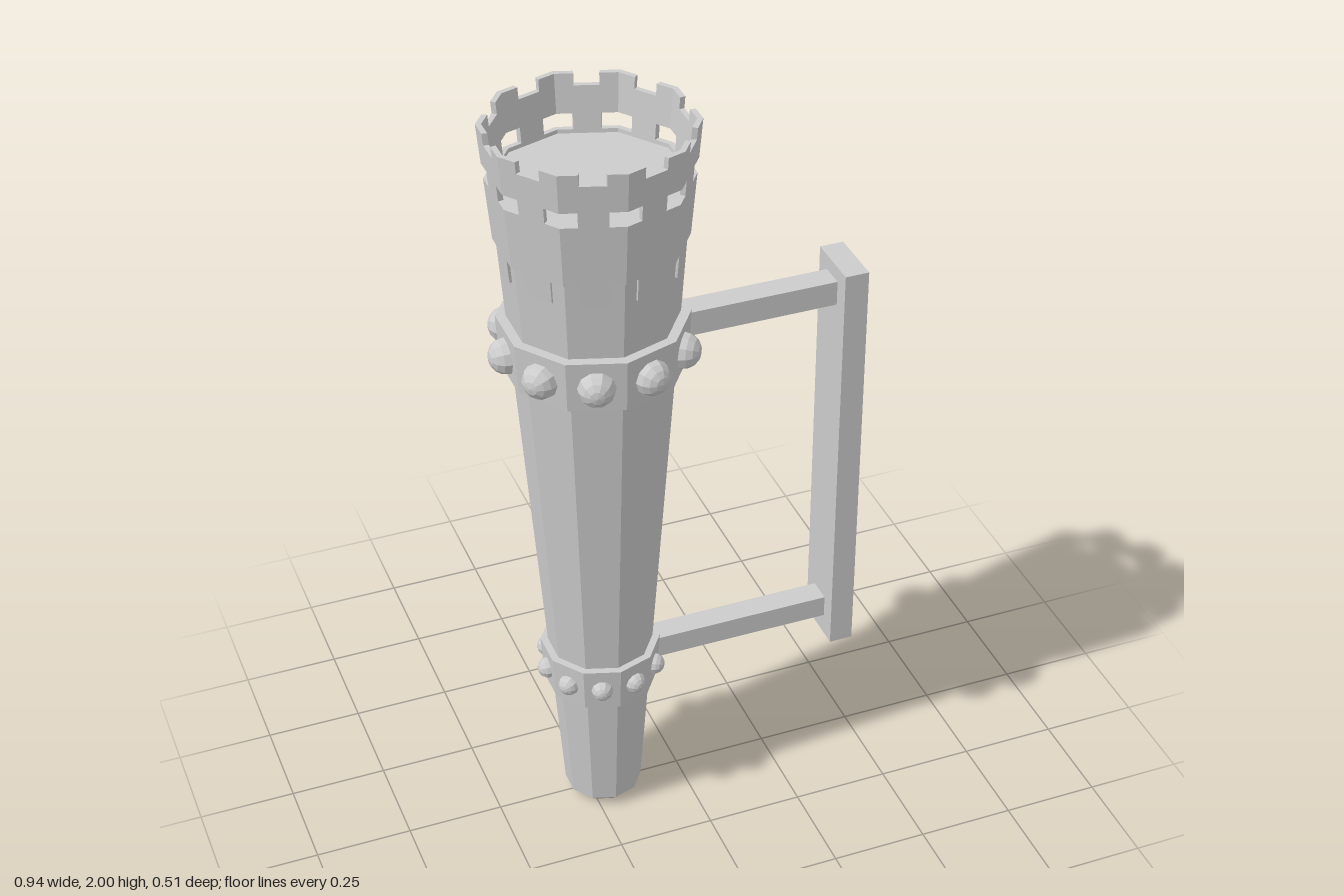
import * as THREE from 'three';

const SIDES = 10;
const AXIS_X = -0.21;

export function createModel() {
  const model = new THREE.Group();
  model.name = 'wallTorch';
  const mat = new THREE.MeshStandardMaterial({ color: 0xcccccc, flatShading: true });

  const add = (parent, name, geometry) => {
    const mesh = new THREE.Mesh(geometry, mat);
    mesh.name = name;
    parent.add(mesh);
    return mesh;
  };
  const lathe = (pts) => new THREE.LatheGeometry(pts.map(([r, y]) => new THREE.Vector2(r, y)), SIDES);

  const torch = new THREE.Group();
  torch.name = 'torch';
  torch.position.x = AXIS_X;
  model.add(torch);

  // Tapered ten-sided shaft with chamfered foot and flat top
  add(torch, 'shaft', lathe([[0, 0], [0.075, 0], [0.1, 0.025], [0.234, 1.85], [0, 1.85]]));

  // Collars with domed studs on every face but the one holding the bracket
  const collar = (name, y0, y1, r0, r1, inner, studY, studR) => {
    const group = new THREE.Group();
    group.name = name;
    torch.add(group);
    add(group, 'band', lathe([[inner, y0], [r0, y0], [r1, y1], [inner, y1]]));
    const apothem = (r0 + r1) / 2 * Math.cos(Math.PI / SIDES);
    const dome = new THREE.SphereGeometry(studR, 10, 4, 0, Math.PI * 2, 0, Math.PI / 2).rotateX(Math.PI / 2);
    for (let i = 0; i < SIDES; i++) {
      if (i === 2) continue;
      const a = (i + 0.5) / SIDES * Math.PI * 2;
      const stud = add(group, 'stud', dome);
      stud.position.set(Math.sin(a) * apothem, studY, Math.cos(a) * apothem);
      stud.rotation.y = a;
    }
  };
  collar('upperCollar', 1.355, 1.49, 0.225, 0.233, 0.18, 1.42, 0.046);
  collar('lowerCollar', 0.38, 0.5, 0.146, 0.154, 0.11, 0.44, 0.028);

  // Crown wall: a box bent round the ten-sided cone; u counts corners round the rim
  const corner = (i) => {
    const a = i / SIDES * Math.PI * 2;
    return new THREE.Vector2(Math.sin(a), Math.cos(a));
  };
  const wall = (name, u0, u1, y0, y1, segments) => {
    const g = new THREE.BoxGeometry(1, 1, 1, segments);
    const p = g.attributes.position;
    for (let i = 0; i < p.count; i++) {
      const u = u0 + (u1 - u0) * (p.getX(i) + 0.5);
      const y = y0 + (y1 - y0) * (p.getY(i) + 0.5);
      const k = Math.floor(u + 1e-6);
      const r = 0.225 + (y - 1.64) * 0.09 - (p.getZ(i) < 0 ? 0.014 : 0);
      const v = corner(k).lerp(corner(k + 1), u - k).multiplyScalar(r);
      p.setXYZ(i, v.x, y, v.y);
    }
    g.computeVertexNormals();
    add(crown, name, g);
  };
  const crown = new THREE.Group();
  crown.name = 'crown';
  torch.add(crown);
  wall('crownLowerBand', 0, SIDES, 1.7, 1.86, SIDES);
  wall('crownUpperBand', 0, SIDES, 1.9, 1.97, SIDES);
  for (let i = 0; i < SIDES; i++) {
    wall('crownTab', i + 0.25, i + 0.75, 1.64, 1.7, 1);
    wall('crownStrut', i + 0.27, i + 0.73, 1.86, 1.9, 1);
    wall('crownMerlon', i - 0.3, i + 0.3, 1.97, 2, 2);
  }

  // Wall bracket: two arms and a back plate
  const bracket = new THREE.Group();
  bracket.name = 'wallBracket';
  model.add(bracket);
  const box = (name, x0, x1, y0, y1, halfZ) => {
    add(bracket, name, new THREE.BoxGeometry(x1 - x0, y1 - y0, halfZ * 2))
      .position.set((x0 + x1) / 2, (y0 + y1) / 2, 0);
  };
  box('upperArm', -0.01, 0.408, 1.388, 1.453, 0.032);
  box('lowerArm', -0.08, 0.408, 0.413, 0.473, 0.032);
  box('wallPlate', 0.408, 0.47, 0.355, 1.492, 0.077);

  return model;
}
